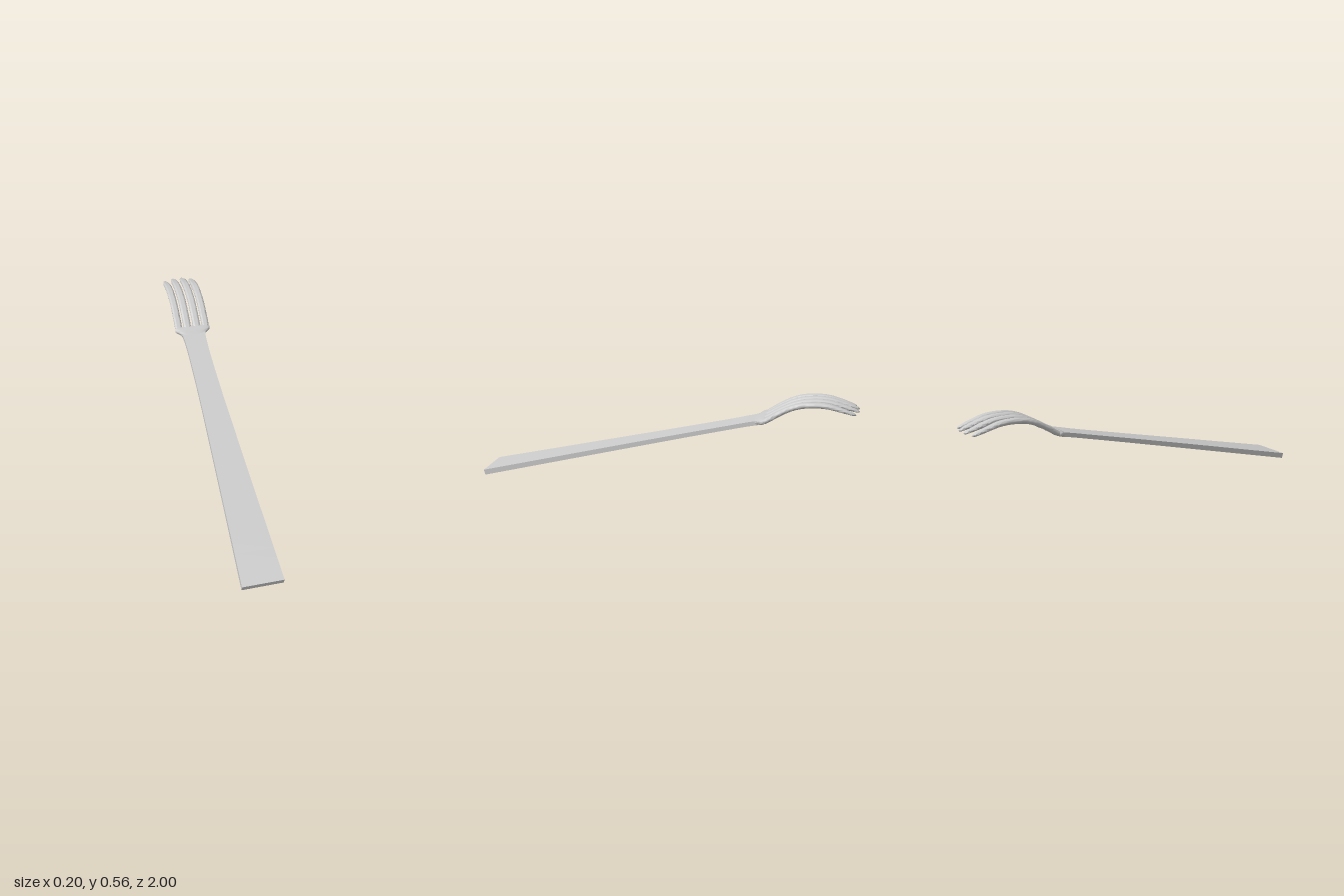
import * as THREE from 'three';
import { toCreasedNormals } from 'three/addons/utils/BufferGeometryUtils.js';

const material = new THREE.MeshStandardMaterial({ color: 0xcccccc });

// Rounded-rectangle outline (superellipse); a higher power is squarer
function roundedOutline(sides, power) {
  const bulge = (v) => Math.sign(v) * Math.pow(Math.abs(v), 2 / power);
  return Array.from({ length: sides }, (_, i) => {
    const a = (i / sides) * Math.PI * 2;
    return [bulge(Math.cos(a)), bulge(Math.sin(a))];
  });
}
const boxOutline = [[1, -1], [1, 1], [-1, 1], [-1, -1]];

// Sweeps an outline through stations [z, y, halfWidth, halfThickness], running towards -z
function loft(name, stations, outline, steps, crease) {
  const path = new THREE.CatmullRomCurve3(
    stations.map(([z, y]) => new THREE.Vector3(0, y, z)), false, 'catmullrom', 0.5);
  const size = new THREE.CatmullRomCurve3(
    stations.map(([, , w, t]) => new THREE.Vector3(w, t, 0)), false, 'catmullrom', 0.5);
  const n = outline.length, pos = [], index = [];
  for (let s = 0; s <= steps; s++) {
    const p = path.getPoint(s / steps), d = path.getTangent(s / steps), r = size.getPoint(s / steps);
    for (const [u, v] of outline) {
      pos.push(u * r.x, p.y - d.z * v * r.y, p.z + d.y * v * r.y);
    }
  }
  for (let s = 0; s < steps; s++) {
    for (let i = 0; i < n; i++) {
      const a = s * n + i, b = s * n + (i + 1) % n;
      index.push(a, a + n, b + n, a, b + n, b);
    }
  }
  // End caps
  const last = steps * n;
  for (let i = 1; i < n - 1; i++) {
    index.push(0, i, i + 1, last, last + i + 1, last + i);
  }
  const geometry = new THREE.BufferGeometry();
  geometry.setAttribute('position', new THREE.Float32BufferAttribute(pos, 3));
  geometry.setIndex(index);
  const mesh = new THREE.Mesh(toCreasedNormals(geometry, crease), material);
  mesh.name = name;
  return mesh;
}

export function createModel() {
  const group = new THREE.Group();
  group.name = 'fork';

  // Flat tapering handle, narrowest just before the head
  group.add(loft('handle', [
    [0.996, 0.015, 0.1, 0.0148],
    [0.67, 0.103, 0.088, 0.014],
    [0.33, 0.195, 0.076, 0.0132],
    [0, 0.284, 0.065, 0.0122],
    [-0.2, 0.338, 0.0605, 0.0115],
    [-0.36, 0.381, 0.059, 0.011],
    [-0.45, 0.406, 0.061, 0.011],
    [-0.5, 0.419, 0.066, 0.011],
    [-0.525, 0.427, 0.076, 0.01],
  ], boxOutline, 48, 0.6));

  // Flared, soft-edged head that carries the tines
  group.add(loft('head', [
    [-0.485, 0.416, 0.063, 0.008],
    [-0.502, 0.421, 0.068, 0.0115],
    [-0.514, 0.426, 0.08, 0.0135],
    [-0.524, 0.43, 0.094, 0.0145],
    [-0.535, 0.434, 0.099, 0.0145],
    [-0.545, 0.439, 0.097, 0.0125],
    [-0.552, 0.443, 0.091, 0.008],
  ], roundedOutline(32, 4), 24, 0.7));

  // Four arched tines with thin rounded tips, the outer pair slightly shorter
  const tines = new THREE.Group();
  tines.name = 'tines';
  for (const side of [-1, 1]) {
    for (const [x, halfWidth, reach, drop] of [[0.0268, 0.0212, 1, 0], [0.0772, 0.0202, 0.968, 0.003]]) {
      const stations = [
        [-0.53, 0.433, 0.9, 0.011],
        [-0.56, 0.449, 1, 0.0135],
        [-0.61, 0.482, 1, 0.0135],
        [-0.67, 0.515, 1, 0.0135],
        [-0.73, 0.535, 1, 0.0135],
        [-0.8, 0.543, 1, 0.013],
        [-0.86, 0.541, 0.98, 0.012],
        [-0.91, 0.531, 0.92, 0.0105],
        [-0.95, 0.521, 0.8, 0.009],
        [-0.98, 0.513, 0.56, 0.007],
        [-0.994, 0.509, 0.32, 0.005],
        [-1, 0.508, 0.06, 0.0015],
      ].map(([z, y, w, t]) => [-0.53 + (z + 0.53) * reach, y - drop, w * halfWidth, t]);
      const tine = loft(side > 0 ? 'leftTine' : 'rightTine', stations, roundedOutline(24, 2.8), 55, 1.2);
      tine.position.x = side * x;
      tines.add(tine);
    }
  }
  group.add(tines);
  return group;
}
